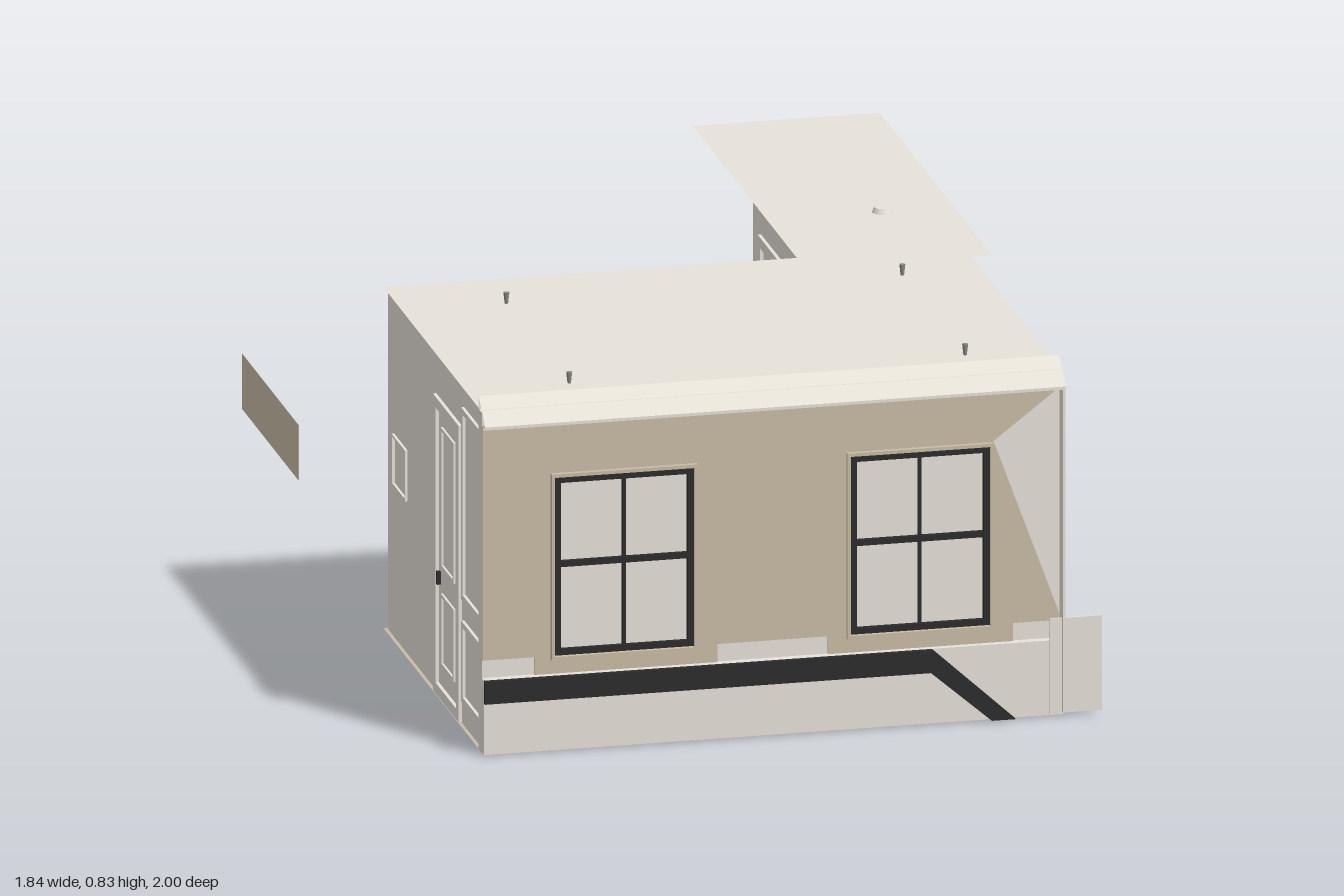
import * as THREE from 'three';

const mat = (name, color) => {
  const m = new THREE.MeshStandardMaterial({ color, side: THREE.DoubleSide });
  m.name = name;
  return m;
};

export function createModel() {
  const root = new THREE.Group();
  root.name = 'roomWithCorridor';
  const wall = mat('wallGrey', 0xe7e2da);
  const tan = mat('facadeTan', 0xcabca5);
  const black = mat('paintedBlack', 0x2c2c2e);
  const cream = mat('corniceCream', 0xefeae0);
  const trim = mat('fittingGrey', 0x8f8c85);

  const add = (name, geo, m, parent = root) => {
    const mesh = new THREE.Mesh(geo, m);
    mesh.name = name;
    parent.add(mesh);
    return mesh;
  };
  // Box given by its minimum and maximum along each axis
  const box = (name, m, x0, x1, y0, y1, z0, z1, parent = root) => {
    const mesh = add(name, new THREE.BoxGeometry(x1 - x0, y1 - y0, z1 - z0), m, parent);
    mesh.position.set((x0 + x1) / 2, (y0 + y1) / 2, (z0 + z1) / 2);
    return mesh;
  };
  const polygon = (pts) => new THREE.Shape(pts.map(([x, y]) => new THREE.Vector2(x, y)));
  const rect = (x0, x1, y0, y1) => polygon([[x0, y0], [x1, y0], [x1, y1], [x0, y1]]);
  const extrude = (shape, depth) => new THREE.ExtrudeGeometry(shape, { depth, bevelEnabled: false });
  // Horizontal plate with its outline as [x, z]
  const plate = (name, m, y, pts) => {
    const geo = new THREE.ShapeGeometry(polygon(pts.map(([x, z]) => [x, -z])));
    geo.rotateX(-Math.PI / 2);
    add(name, geo, m).position.y = y;
  };
  // Rectangular border standing on a wall face
  const frame = (name, m, x0, x1, y0, y1, t, depth, parent) => {
    const s = rect(x0, x1, y0, y1);
    s.holes.push(rect(x0 + t, x1 - t, y0 + t, y1 - t));
    return add(name, extrude(s, depth), m, parent);
  };
  // Group whose local z points out of a wall
  const face = (name, x, z, turn) => {
    const g = new THREE.Group();
    g.name = name;
    g.position.set(x, 0, z);
    g.rotation.y = turn;
    root.add(g);
    return g;
  };
  const door = (g, x0, x1, top, knobX) => {
    const w = x1 - x0;
    frame('doorCasing', wall, x0, x1, 0.005, top, 0.025, 0.008, g);
    for (const [a, b] of [[0.08, 0.25], [0.31, top - 0.06]])
      frame('doorPanelMoulding', wall, x0 + w * 0.25, x1 - w * 0.25, a, b, 0.008, 0.005, g);
    box('doorHandle', black, knobX - 0.005, knobX + 0.005, 0.265, 0.295, 0, 0.009, g);
  };

  // Roof over the room and the corridor
  plate('roof', wall, 0.802, [[-0.5, 0.01], [0.45, 0.01], [0.45, -1], [0.88, -1],
    [0.88, 0.09], [0.832, 0.09], [0.832, 0.94], [-0.5, 0.94]]);

  // Floor, with a pale rectangle on the underside
  plate('floor', tan, 0.003, [[-0.5, 0.01], [0.43, 0.01], [0.43, -0.88], [0.86, -0.88],
    [0.86, -0.77], [0.82, -0.77], [0.82, 0], [0.832, 0], [0.832, 0.985], [-0.5, 0.985]]);
  plate('floorUnderside', wall, 0, [[-0.28, 0.09], [0.37, 0.09], [0.37, 0.68], [-0.28, 0.68]]);
  box('corridorThreshold', tan, 0.78, 0.82, 0.003, 0.013, -0.66, -0.48);

  // Walls, set just inside the roof edge
  box('rightWall', wall, 0.822, 0.832, 0.003, 0.8, -0.48, 0.965);
  box('leftWall', wall, -0.492, -0.484, 0.003, 0.8, 0.018, 0.965);
  box('backWall', wall, -0.492, 0.458, 0.003, 0.8, 0.018, 0.026);
  box('corridorWall', wall, 0.458, 0.466, 0.003, 0.8, -0.44, 0.018);
  box('corridorEndWall', wall, 0.458, 0.83, 0.003, 0.8, -0.45, -0.44);
  box('facadeCore', wall, -0.5, 0.832, 0.003, 0.8, 0.935, 0.965);

  // Tan facade facing with two window openings
  const windows = [-0.175, 0.505];
  const facing = polygon([[-0.5, 0.22], [-0.38, 0.22], [-0.38, 0.17], [0.04, 0.17], [0.04, 0.22],
    [0.295, 0.22], [0.295, 0.17], [0.72, 0.17], [0.72, 0.22], [0.832, 0.22], [0.675, 0.65],
    [0.832, 0.77], [-0.5, 0.77]]);
  for (const x of windows) facing.holes.push(rect(x - 0.16, x + 0.16, 0.222, 0.64));
  add('facadeFacing', extrude(facing, 0.005), tan).position.z = 0.965;

  // Sash windows
  for (const x of windows) {
    const g = face('frontWindow', x, 0.965, 0);
    frame('windowSurround', tan, -0.168, 0.168, 0.212, 0.648, 0.008, 0.016, g);
    frame('windowFrame', black, -0.16, 0.16, 0.222, 0.64, 0.014, 0.012, g);
    box('windowMeetingRail', black, -0.15, 0.15, 0.428, 0.442, 0, 0.01, g);
    box('windowBar', black, -0.004, 0.004, 0.23, 0.63, 0, 0.008, g);
  }

  // Plinth, black band and the plate at the right end
  box('plinth', wall, -0.5, 0.832, 0.004, 0.178, 0.965, 0.985);
  const band = polygon([[-0.5, 0.125], [0.525, 0.125], [0.665, 0.003], [0.72, 0.003], [0.53, 0.178], [-0.5, 0.178]]);
  add('blackBand', extrude(band, 0.012), black).position.z = 0.985;
  box('endPlate', wall, 0.8, 0.92, 0.008, 0.23, 0.985, 0.989);

  // Corner strips at the right end of the facade
  box('cornerStrip', wall, 0.828, 0.834, 0.165, 0.775, 0.937, 0.998);
  box('cornerStripFoot', wall, 0.828, 0.834, 0.012, 0.165, 0.968, 0.998);

  // Cornice sloping back to the roof, listed as [z, y]
  const profile = [[0.971, 0.764], [0.998, 0.768], [0.998, 0.775], [0.968, 0.806], [0.962, 0.806], [0.935, 0.83], [0.935, 0.802]];
  const pos = [], idx = [];
  profile.slice(0, -1).forEach((p, i) => {
    const q = profile[i + 1], n = i * 4;
    pos.push(-0.5, p[1], p[0], 0.834, p[1], p[0], 0.834, q[1], q[0], -0.5, q[1], q[0]);
    idx.push(n, n + 1, n + 2, n, n + 2, n + 3);
  });
  const cornice = new THREE.BufferGeometry();
  cornice.setAttribute('position', new THREE.Float32BufferAttribute(pos, 3));
  cornice.setIndex(idx);
  cornice.computeVertexNormals();
  add('cornice', cornice, cream);

  // Side window, two by four panes
  const side = face('sideWindow', 0.832, -0.265, Math.PI / 2);
  frame('sideWindowFrame', black, -0.125, 0.125, 0.27, 0.64, 0.024, 0.004, side);
  box('sideWindowBar', black, -0.004, 0.004, 0.29, 0.62, 0, 0.003, side);
  for (const [y, t] of [[0.37, 0.003], [0.455, 0.006], [0.54, 0.003]])
    box('sideWindowCrossbar', black, -0.11, 0.11, y - t, y + t, 0, 0.003, side);

  // Back wall panelling (local x runs towards -x)
  const back = face('backPanelling', 0, 0.018, Math.PI);
  frame('upperPanel', wall, -0.41, -0.01, 0.33, 0.74, 0.012, 0.006, back);
  frame('lowerPanel', wall, -0.41, -0.01, 0.08, 0.26, 0.012, 0.006, back);
  box('chairRail', wall, 0.02, 0.49, 0.28, 0.286, 0, 0.004, back);
  for (const y of [0.06, 0.25]) box('socket', wall, 0.21, 0.24, y, y + 0.02, 0, 0.006, back);

  // Left wall: door, panels and a small frame (local x runs towards +z)
  const left = face('leftPanelling', -0.492, 0, -Math.PI / 2);
  door(left, 0.49, 0.74, 0.7, 0.53);
  frame('smallFrame', wall, 0.08, 0.21, 0.36, 0.48, 0.006, 0.006, left);
  frame('upperPanel', wall, 0.76, 0.96, 0.3, 0.75, 0.014, 0.007, left);
  frame('lowerPanel', wall, 0.76, 0.96, 0.06, 0.25, 0.014, 0.007, left);

  // Corridor doors
  door(face('corridorSideDoor', 0.458, 0, -Math.PI / 2), -0.37, -0.04, 0.74, -0.32);
  door(face('corridorEndDoor', 0, -0.45, Math.PI), -0.78, -0.53, 0.74, -0.75);

  // Roof hooks and the ceiling lamp base
  for (const x of [-0.26, 0.65]) for (const z of [0.19, 0.8]) {
    add('roofHook', new THREE.CylinderGeometry(0.007, 0.004, 0.026, 8), trim).position.set(x, 0.815, z);
  }
  add('lampBase', new THREE.CylinderGeometry(0.018, 0.023, 0.012, 16), wall).position.set(0.715, 0.808, -0.28);

  // Detached panel beside the room, pale inside and tan outside
  box('detachedPanelInner', wall, -0.9195, -0.919, 0.67, 0.8, 0.41, 0.96);
  box('detachedPanelOuter', tan, -0.92, -0.9195, 0.67, 0.8, 0.41, 0.96);

  // Narrow ridge closing the end of the corridor roof
  box('roofEndEdge', wall, 0.45, 0.88, 0.8, 0.802, -1, -0.999);
  return root;
}
